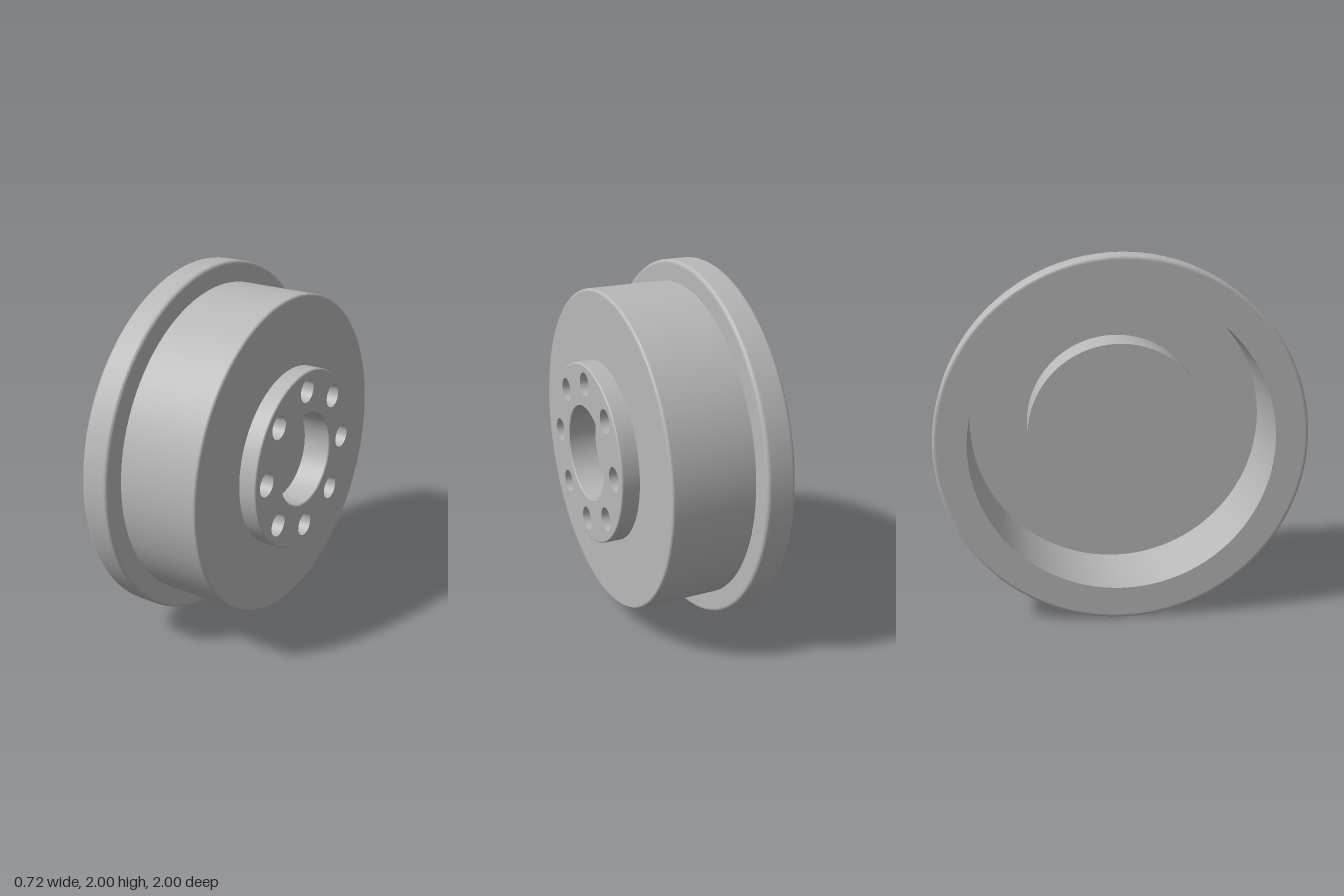
import * as THREE from 'three';
import { toCreasedNormals } from 'three/addons/utils/BufferGeometryUtils.js';

const SEG = 96;
const HUB_X = 0.36, HUB_R = 0.5, BORE_R = 0.26, EDGE = 0.01;
const HOLE_COUNT = 8, HOLE_RING = 0.395, HOLE_R = 0.065;

// Quarter-round corner: centre (r, x), radius f, from angle a0 to a0 + 90 degrees
function fillet(r, x, f, a0) {
  return [0, 1, 2, 3, 4].map((i) => {
    const a = a0 + (i / 4) * Math.PI / 2;
    return [r + f * Math.cos(a), x + f * Math.sin(a)];
  });
}

// Revolve a [radius, x] profile around the x axis
function revolve(profile, segments = SEG) {
  const points = profile.map(([r, x]) => new THREE.Vector2(r, x));
  const geometry = new THREE.LatheGeometry(points, segments);
  geometry.rotateZ(-Math.PI / 2);
  return toCreasedNormals(geometry, 0.18);
}

export function createModel() {
  const model = new THREE.Group();
  model.name = 'flangedWheel';
  const metal = new THREE.MeshStandardMaterial({ color: 0xb8b8b8 });
  metal.name = 'grey metal';

  const wheel = new THREE.Group();
  wheel.name = 'wheel';
  wheel.position.y = 1;
  model.add(wheel);

  function add(name, geometry) {
    const mesh = new THREE.Mesh(geometry, metal);
    mesh.name = name;
    wheel.add(mesh);
    return mesh;
  }

  // Boss inside the hollow back, and the hollow itself
  add('innerBoss', revolve([[0, -0.14], [HUB_R, -0.14], [HUB_R, 0.1]]));
  add('cavity', revolve([[HUB_R, 0.1], [0.82, 0.1], [0.82, -0.36]]));

  // Flange with rounded outer edges
  add('flange', revolve([
    [0.82, -0.36],
    ...fillet(0.98, -0.34, 0.02, -Math.PI / 2),
    ...fillet(0.98, -0.22, 0.02, 0),
    [0.885, -0.2],
  ]));

  // Tread drum and its front wall
  add('drum', revolve([
    [0.885, -0.2],
    ...fillet(0.87, 0.245, 0.015, 0),
    [HUB_R, 0.26],
  ]));

  // Raised hub rim
  add('hubRim', revolve([
    [HUB_R, 0.26],
    ...fillet(HUB_R - EDGE, HUB_X - EDGE, EDGE, 0),
  ]));

  // Hub face, pierced by the bore and the ring of bolt holes
  const face = new THREE.Shape();
  face.absarc(0, 0, HUB_R - EDGE, 0, Math.PI * 2, false);
  const bore = new THREE.Path();
  bore.absarc(0, 0, BORE_R + EDGE / 2, 0, Math.PI * 2, true);
  face.holes.push(bore);

  // Blind drilled holes with conical ends
  const holeGeometry = revolve([[HOLE_R, 0], [HOLE_R, -0.15], [0, -0.19]], 48);
  for (let i = 0; i < HOLE_COUNT; i++) {
    const a = (i / HOLE_COUNT) * Math.PI * 2;
    const u = HOLE_RING * Math.cos(a), v = HOLE_RING * Math.sin(a);
    const opening = new THREE.Path();
    opening.absarc(u, v, HOLE_R, 0, Math.PI * 2, true);
    face.holes.push(opening);
    add('boltHole' + (i + 1), holeGeometry).position.set(HUB_X, v, -u);
  }

  const faceGeometry = new THREE.ShapeGeometry(face, SEG);
  faceGeometry.rotateY(Math.PI / 2);
  faceGeometry.translate(HUB_X, 0, 0);
  add('hubFace', faceGeometry);

  // Blind centre bore with a small bevel
  add('centreBore', revolve([
    [BORE_R + EDGE / 2, HUB_X], [BORE_R, HUB_X - EDGE / 2], [BORE_R, 0.2], [0, 0.2],
  ]));

  return model;
}
